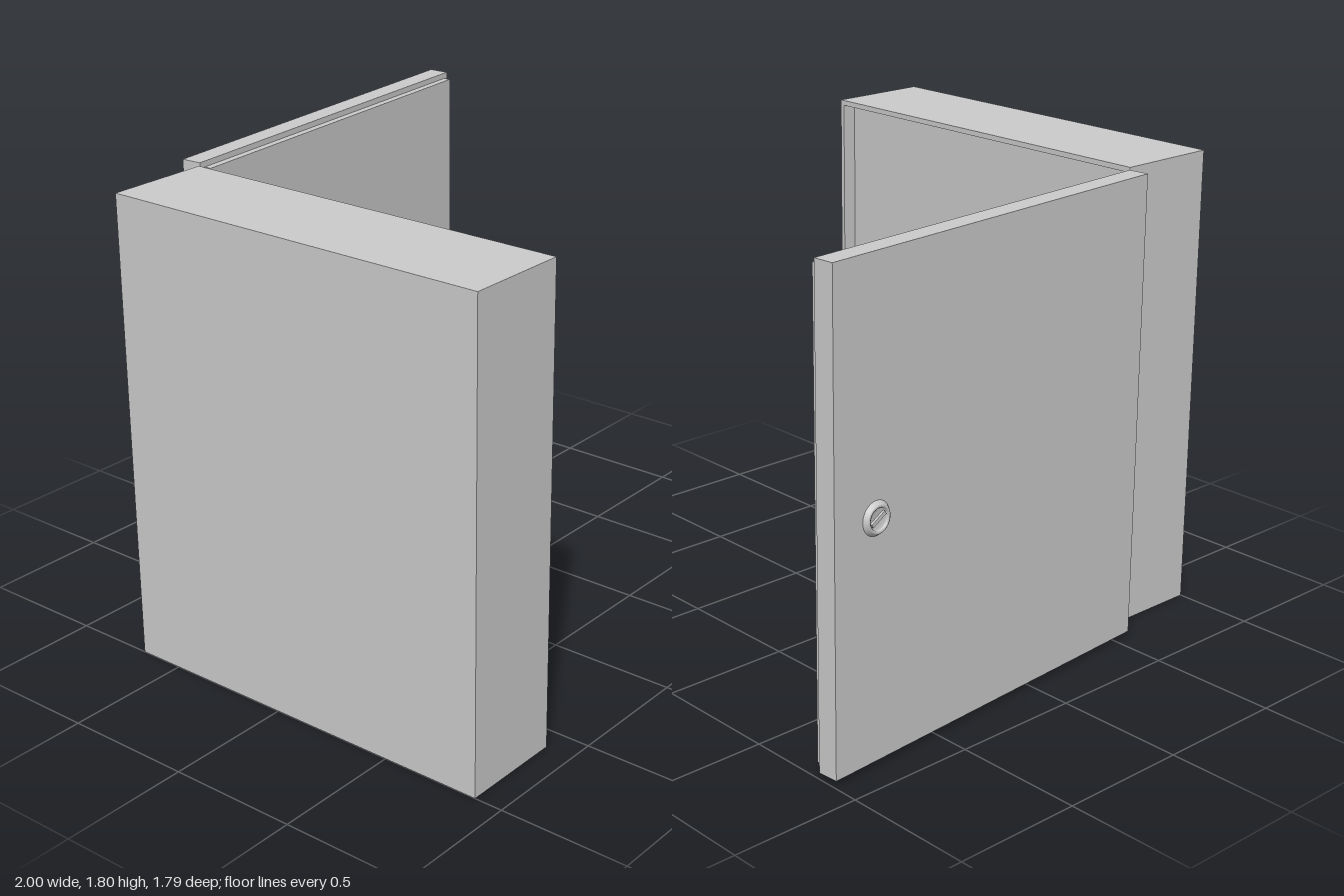
import * as THREE from 'three';

const grey = new THREE.MeshStandardMaterial({ color: 0xcccccc });

function add(parent, name, geometry, x = 0, y = 0, z = 0) {
  const mesh = new THREE.Mesh(geometry, grey);
  mesh.name = name;
  mesh.position.set(x, y, z);
  parent.add(mesh);
  return mesh;
}

// Box given by its minimum and maximum corners
function block(parent, name, a, b) {
  const size = b.map((v, i) => v - a[i]);
  const mid = b.map((v, i) => (v + a[i]) / 2);
  return add(parent, name, new THREE.BoxGeometry(...size), ...mid);
}

// Rectangular frame in the xy plane, extruded along +z
function frame(outer, inner, depth) {
  const rect = ([x0, y0, x1, y1]) => [[x0, y0], [x1, y0], [x1, y1], [x0, y1]].map(p => new THREE.Vector2(...p));
  const shape = new THREE.Shape(rect(outer));
  shape.holes.push(new THREE.Path(rect(inner).reverse()));
  return new THREE.ExtrudeGeometry(shape, { depth, bevelEnabled: false });
}

// Switch: local x is across, z points out of the cabinet
function createSwitch() {
  const unit = new THREE.Group();
  unit.name = 'mainSwitch';
  add(unit, 'switchFrame', frame([-0.26, 0.74, 0.09, 1.13], [-0.2, 0.77, 0.04, 1.1], 0.05));

  // Curved drum in the recess, cut by two lever slots
  const strips = [[-0.2, -0.15, 0], [-0.15, -0.095, 1], [-0.095, -0.075, 0], [-0.075, -0.02, 1], [-0.02, 0.04, 0]];
  for (const [x0, x1, slotted] of strips) {
    const s = new THREE.Shape();
    s.moveTo(0, 0.8);
    for (let i = 0; i <= 20; i++) {
      const t = i / 20;
      const y = 0.8 + 0.28 * t;
      const cut = slotted && y > 0.87 && y < 1.05;
      s.lineTo(cut ? 0.012 : 0.012 + 0.03 * Math.sin(Math.PI * t), y);
    }
    s.lineTo(0, 1.08);
    const g = new THREE.ExtrudeGeometry(s, { depth: x1 - x0, bevelEnabled: false });
    g.rotateY(-Math.PI / 2); // profile outwards to +z, depth to -x
    add(unit, slotted ? 'drumSlot' : 'drumStrip', g, x1, 0, 0);
  }
  block(unit, 'topStop', [-0.2, 1.085, 0.01], [0.04, 1.1, 0.052]);
  block(unit, 'bottomStop', [-0.2, 0.77, 0], [0.04, 0.8, 0.025]);

  // Two arms carrying the grip
  for (const x of [-0.123, -0.047]) {
    const arm = add(unit, 'leverArm', new THREE.BoxGeometry(0.035, 0.235, 0.014), x, 1.06, 0.056);
    arm.rotation.x = 0.2;
  }
  const grip = new THREE.CylinderGeometry(0.02, 0.02, 0.245, 24);
  grip.rotateZ(Math.PI / 2);
  add(unit, 'leverGrip', grip, -0.08, 1.172, 0.08);
  return unit;
}

function createCabinet() {
  const cabinet = new THREE.Group();
  cabinet.name = 'cabinet';
  cabinet.rotation.y = Math.PI / 2;
  cabinet.position.x = -0.652;
  block(cabinet, 'cabinetBody', [-0.89, 0, -0.348], [0.68, 1.8, 0]);
  add(cabinet, 'cabinetRim', frame([-0.89, 0, 0.68, 1.8], [-0.872, 0.02, 0.66, 1.78], 0.057));
  cabinet.add(createSwitch());
  return cabinet;
}

function createDoor() {
  const door = new THREE.Group();
  door.name = 'door';
  door.position.set(-0.565, 0, -0.705);
  door.rotation.y = 0.0705;
  block(door, 'doorPanel', [0, 0.02, -0.08], [1.565, 1.8, 0]);
  block(door, 'doorInset', [0.025, 0.042, -0.005], [1.545, 1.778, 0.028]);

  // Hinge leaves on the hinge edge
  for (const y of [0.2, 1.5]) {
    block(door, 'hingeLeaf', [-0.003, y, -0.03], [0.025, y + 0.125, 0.004]);
    block(door, 'hingePin', [0.004, y + 0.115, 0], [0.025, y + 0.13, 0.012]);
  }

  // Lock on the outer face: raised ring with a key bar
  const lock = new THREE.Group();
  lock.name = 'lock';
  lock.position.set(1.375, 0.905, -0.08);
  lock.rotation.x = -Math.PI / 2;
  const profile = [[0, 0.005], [0.038, 0.005], [0.04, 0.014], [0.046, 0.017], [0.052, 0.014], [0.062, 0]]
    .map(p => new THREE.Vector2(...p)).reverse();
  add(lock, 'lockRing', new THREE.LatheGeometry(profile, 40));
  const bar = add(lock, 'lockKeyBar', new THREE.BoxGeometry(0.068, 0.01, 0.014), 0, 0.009, 0);
  bar.rotation.y = 0.5;
  door.add(lock);
  return door;
}

export function createModel() {
  const model = new THREE.Group();
  model.name = 'switchCabinet';
  model.add(createCabinet(), createDoor());
  return model;
}
